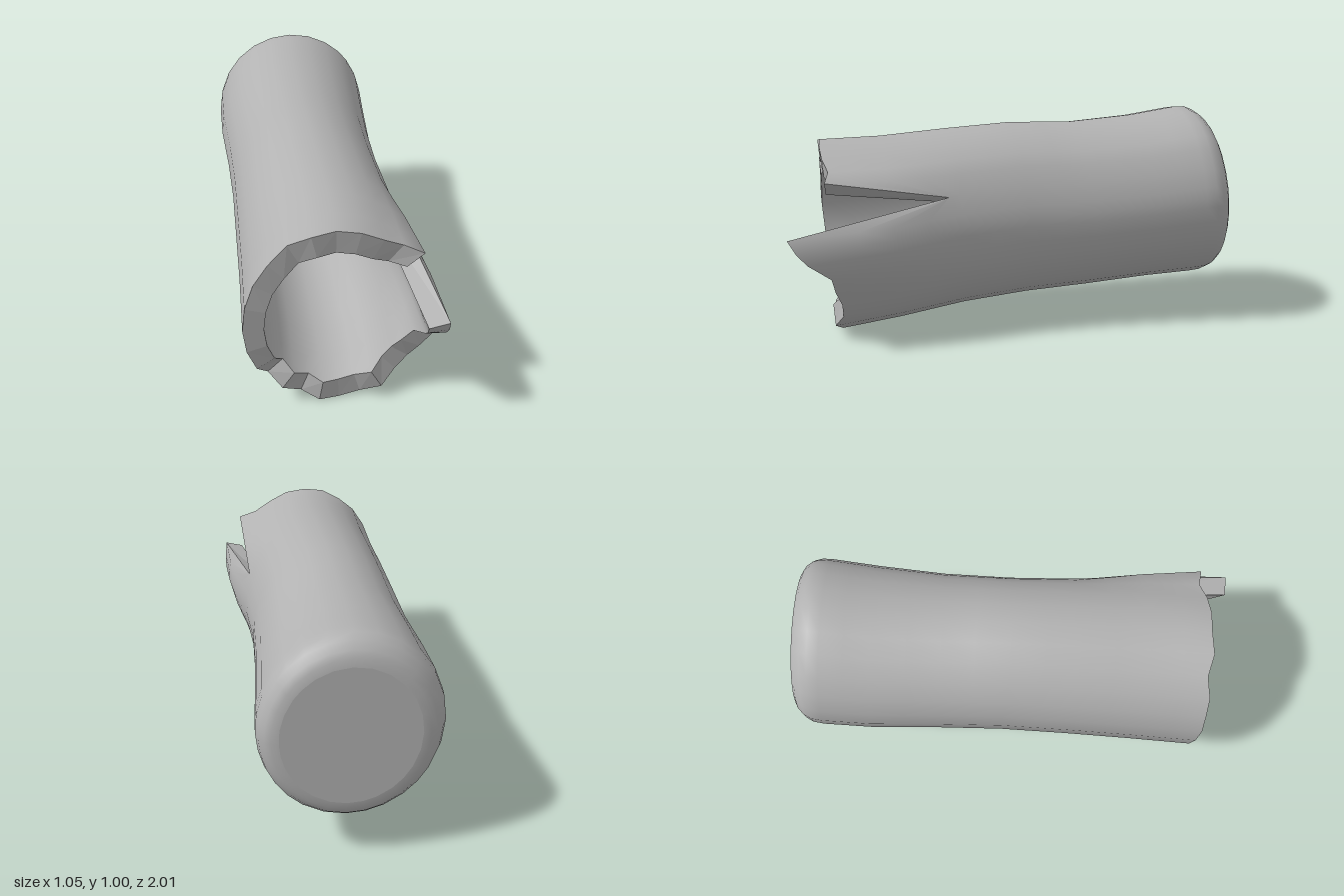
import * as THREE from 'three';

// Axis stations: [z, left, right, bottom, top]
const STATIONS = [
  [-0.85, -0.525, 0.24, 0.19, 1.015], [-0.6, -0.495, 0.255, 0.175, 0.975],
  [-0.3, -0.44, 0.275, 0.15, 0.95], [0, -0.395, 0.305, 0.13, 0.955],
  [0.3, -0.36, 0.36, 0.10, 0.935], [0.6, -0.325, 0.42, 0.05, 0.91],
  [0.9, -0.295, 0.455, 0.005, 0.90],
];

// Broken rim: [angle in degrees, z where the wall ends, outward bend of the shard]
const RIM = [
  [-2, 0.98, 0.06], [4, 1.02, 0.06], [11, 1.05, 0.06], [23, 0.35, 0], [37, 0.87, 0.065],
  [47, 0.85, 0.02], [60, 0.87, 0], [75, 0.875, 0], [90, 0.87, 0], [105, 0.88, 0],
  [120, 0.86, 0], [135, 0.885, 0], [150, 0.89, 0], [165, 0.9, 0], [180, 0.9, 0],
  [195, 0.9, 0], [210, 0.89, 0], [222, 0.84, 0], [234, 0.88, 0], [248, 0.85, 0],
  [260, 0.89, 0], [273, 0.875, 0], [287, 0.87, 0], [302, 0.9, 0], [314, 0.86, 0],
  [326, 0.86, 0], [337, 0.88, 0.01], [348, 0.89, 0.04],
];
const INNER = 0.77;

// Point on the tilted, gently bending section at z, scaled by k
function wallPoint([deg, , bend], z, k) {
  let i = 0;
  while (i < STATIONS.length - 2 && z > STATIONS[i + 1][0]) i++;
  const a = STATIONS[i], b = STATIONS[i + 1];
  const t = Math.max(0, (z - a[0]) / (b[0] - a[0]));
  const [l, r, bot, top] = [1, 2, 3, 4].map(n => a[n] + (b[n] - a[n]) * t);
  const w = deg * Math.PI / 180;
  const flare = bend * Math.min(1, Math.max(0, (z - 0.33) / 0.55));
  const dx = Math.cos(w) * ((r - l) / 2 * k + flare);
  const dy = Math.sin(w) * ((top - bot) / 2 * k + flare);
  return [(l + r) / 2 + dx, (bot + top) / 2 + dy, z - 0.13 * dx + 0.08 * dy];
}

// Closed ring of points; sections beyond the broken edge stop at it
const ring = (z, k) => RIM.map(c => wallPoint(c, Math.min(z, c[1]), k));

// Skin joining successive rings
function loft(rings) {
  const n = RIM.length, index = [];
  for (let i = 0; i < rings.length - 1; i++) {
    for (let j = 0; j < n; j++) {
      const a = i * n + j, b = i * n + (j + 1) % n;
      index.push(a, b, b + n, a, b + n, a + n);
    }
  }
  const geo = new THREE.BufferGeometry();
  geo.setAttribute('position', new THREE.Float32BufferAttribute(rings.flat(2), 3));
  geo.setIndex(index);
  geo.computeVertexNormals();
  return geo;
}

export function createModel() {
  const model = new THREE.Group();
  model.name = 'brokenHollowTube';
  const grey = new THREE.MeshStandardMaterial({ color: 0xb2b2b2 });
  grey.name = 'grey';
  const add = (name, geo) => {
    const mesh = new THREE.Mesh(geo, grey);
    mesh.name = name;
    model.add(mesh);
  };

  const levels = [-0.6, -0.45, -0.3, -0.15, 0, 0.15, 0.3, 0.45, 0.6, 0.75, 2];

  // Outer wall with the rounded closed end
  const roundedEnd = [[-0.955, 0.74], [-0.95, 0.82], [-0.935, 0.89], [-0.905, 0.955],
    [-0.87, 0.99], [-0.82, 1], [-0.72, 1]].map(([z, k]) => ring(z, k));
  add('outerWall', loft([...roundedEnd, ...levels.map(z => ring(z, 1))]));

  // Flat closed end
  add('endCap', loft([ring(-0.955, 0), ring(-0.955, 0.74)]));

  // Inside of the tube and its floor
  const inside = [-0.85, ...levels].reverse();
  add('innerWall', loft(inside.map(z => ring(z, INNER))));
  add('innerFloor', loft([ring(-0.85, INNER), ring(-0.85, 0)]));

  // Jagged fracture face joining both walls
  const fracture = loft([ring(2, 1), ring(2, INNER)]).toNonIndexed();
  fracture.computeVertexNormals();
  add('fractureRim', fracture);

  return model;
}
